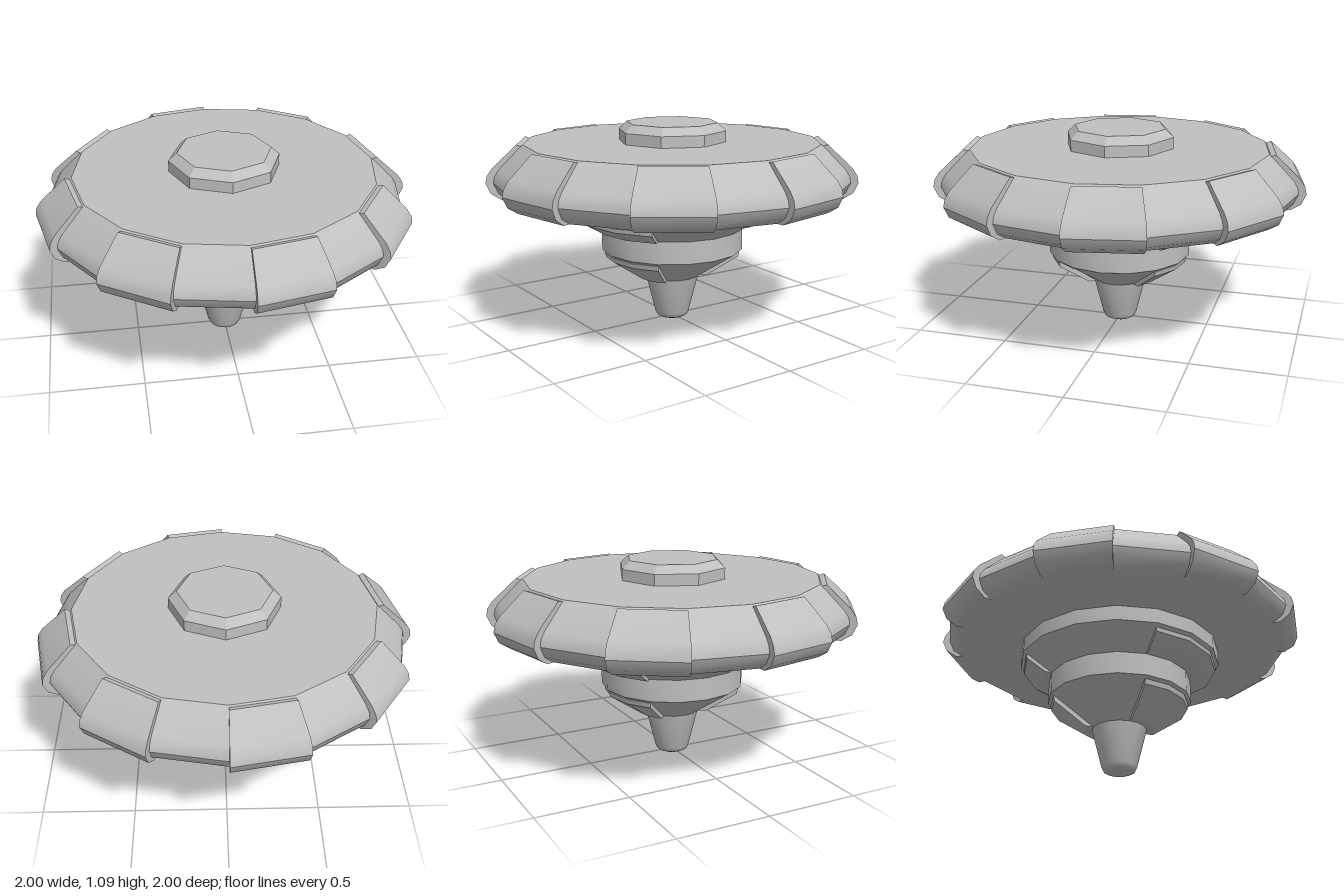
import * as THREE from 'three';
import { toCreasedNormals } from 'three/addons/utils/BufferGeometryUtils.js';

const SIDES = 16;
const STEP = (Math.PI * 2) / SIDES;

// Sweep a closed (radius, height) profile around the axis, capping both ends.
// The profile runs up its outer side and is star-shaped about its first point.
function sweep(profile, start, segments, capped = true) {
  const pos = [];
  const at = ([r, y], phi) => [r * Math.sin(phi), y, r * Math.cos(phi)];
  const tri = (...corners) => corners.forEach((c) => pos.push(...c));
  const n = profile.length;
  const end = start + segments * STEP;
  for (let s = 0; s < segments; s++) {
    const p0 = start + s * STEP;
    const p1 = p0 + STEP;
    for (let i = 0; i < n; i++) {
      const a = profile[i];
      const b = profile[(i + 1) % n];
      if (a[0] > 0) tri(at(a, p0), at(a, p1), at(b, p1));
      if (b[0] > 0) tri(at(a, p0), at(b, p1), at(b, p0));
    }
  }
  if (capped) {
    for (let i = 1; i < n - 1; i++) {
      tri(at(profile[0], start), at(profile[i], start), at(profile[i + 1], start));
      tri(at(profile[0], end), at(profile[i + 1], end), at(profile[i], end));
    }
  }
  const geo = new THREE.BufferGeometry();
  geo.setAttribute('position', new THREE.Float32BufferAttribute(pos, 3));
  return toCreasedNormals(geo, 0.6);
}

// Turned solid with soft sides and sharp shoulders
function turned(profile, sides, crease) {
  const pts = profile.map(([r, y]) => new THREE.Vector2(r, y));
  return toCreasedNormals(new THREE.LatheGeometry(pts, sides), crease);
}

export function createModel() {
  const group = new THREE.Group();
  const grey = new THREE.MeshStandardMaterial({ color: 0xc0c0c0 });
  grey.name = 'plain grey';

  const add = (name, geometry, parent = group) => {
    const mesh = new THREE.Mesh(geometry, grey);
    mesh.name = name;
    parent.add(mesh);
  };

  // Faceted disc with a rounded rim, and a raised blade on every other facet
  const disc = [[0, 0.7], [0.88, 0.7], [0.935, 0.735], [0.96, 0.79], [0.953, 0.825],
    [0.93, 0.86], [0.83, 0.962], [0.8, 0.99], [0, 0.99]];
  const blade = [[0.8, 0.8], [0.87, 0.7], [0.92, 0.7], [0.975, 0.735], [1, 0.79],
    [0.992, 0.83], [0.965, 0.87], [0.835, 0.99], [0.8, 0.98]];
  const discGroup = new THREE.Group();
  discGroup.name = 'disc';
  const blades = new THREE.Group();
  blades.name = 'rimBlades';
  group.add(discGroup, blades);
  for (let i = 0; i < SIDES; i++) {
    add('discFacet', sweep(disc, i * STEP, 1, false), discGroup);
    if (i % 2 === 0) add('rimBlade', sweep(blade, i * STEP, 1), blades);
  }

  // Eight-sided cap on top
  add('topCap', turned([[0.295, 0.985], [0.295, 1.05], [0.25, 1.092], [0, 1.092]], 8, 0.1));

  // Stepped body below the disc
  add('upperTier', turned([[0, 0.52], [0.39, 0.52], [0.55, 0.62], [0.55, 0.71]], SIDES, 0.5));
  add('lowerTier', turned([[0, 0.24], [0.15, 0.24], [0.39, 0.4], [0.39, 0.53]], SIDES, 0.5));

  // Tapered tip with a rounded end
  add('tip', turned([[0, 0], [0.07, 0], [0.085, 0.008], [0.095, 0.03], [0.15, 0.25]], SIDES, 0.8));

  // Raised plates on the sloping faces, front and back
  const upperPlate = [[0.39, 0.53], [0.39, 0.52], [0.425, 0.52], [0.53, 0.583], [0.533, 0.605], [0.5, 0.605]];
  const lowerPlate = [[0.14, 0.25], [0.15, 0.24], [0.195, 0.24], [0.37, 0.358], [0.376, 0.385], [0.33, 0.385]];
  for (const [side, phi] of [['front', 0], ['back', Math.PI]]) {
    add(side + 'UpperPlate', sweep(upperPlate, phi - Math.PI / 4, 4));
    add(side + 'LowerPlate', sweep(lowerPlate, phi - Math.PI / 4, 4));
  }

  return group;
}
